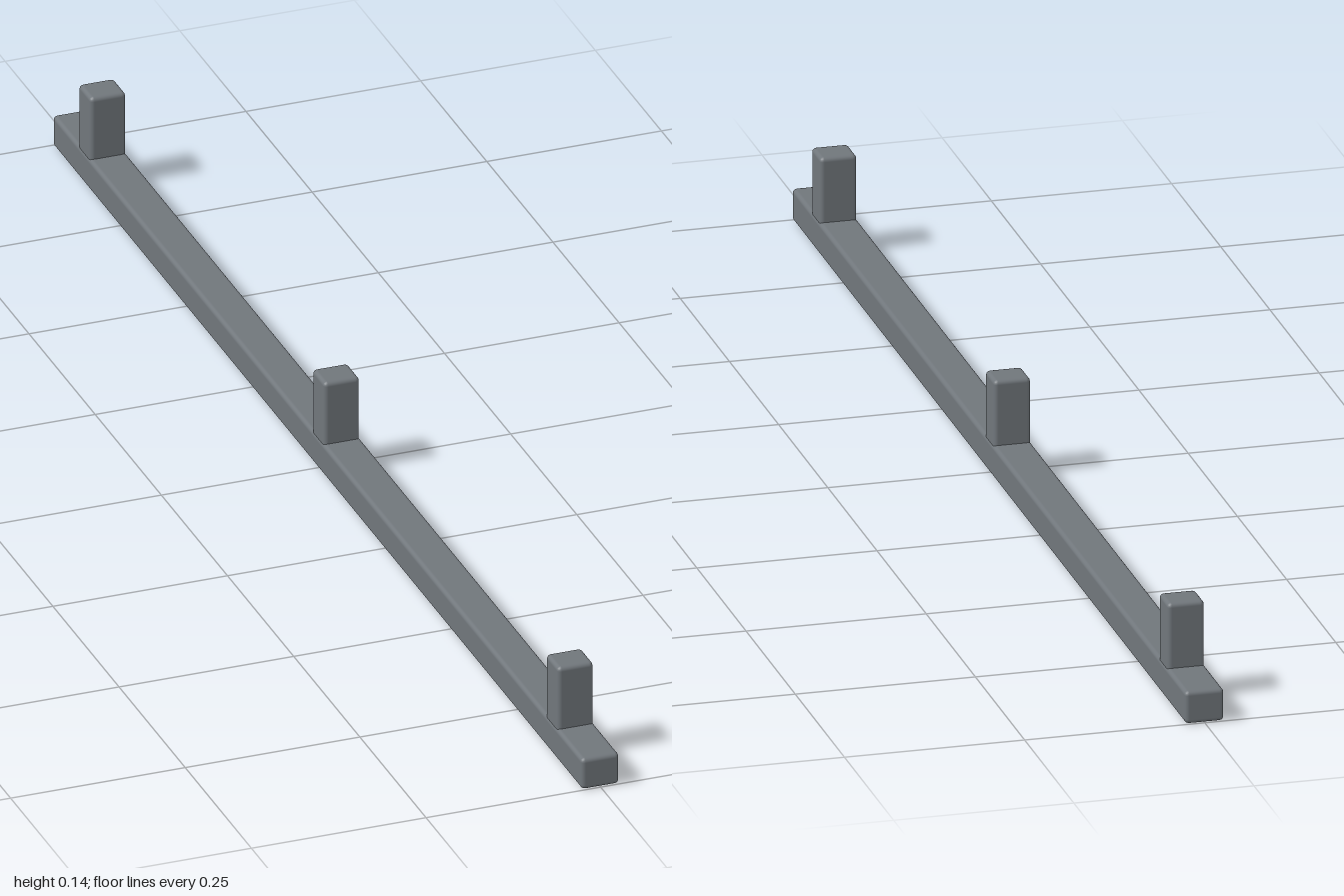
import * as THREE from 'three';
import { RoundedBoxGeometry } from 'three/addons/geometries/RoundedBoxGeometry.js';

const RAIL = { width: 0.054, height: 0.046, length: 2 };
const POST = { width: 0.051, depth: 0.047, bottom: 0.035, top: 0.138 };
const BEVEL = 0.006;

export function createModel() {
  const model = new THREE.Group();
  model.name = 'railWithPosts';
  const material = new THREE.MeshStandardMaterial({ color: 0x70767b });

  // Long bar lying along z
  const rail = new THREE.Mesh(
    new RoundedBoxGeometry(RAIL.width, RAIL.height, RAIL.length, 2, BEVEL), material);
  rail.name = 'rail';
  rail.position.y = RAIL.height / 2;
  model.add(rail);

  // Three short posts, set slightly into the bar
  const postHeight = POST.top - POST.bottom;
  const postGeometry = new RoundedBoxGeometry(POST.width, postHeight, POST.depth, 2, BEVEL);
  const posts = { frontPost: 0.883, middlePost: 0, backPost: -0.883 };
  for (const [name, z] of Object.entries(posts)) {
    const post = new THREE.Mesh(postGeometry, material);
    post.name = name;
    post.position.set(0, POST.bottom + postHeight / 2, z);
    model.add(post);
  }

  return model;
}
